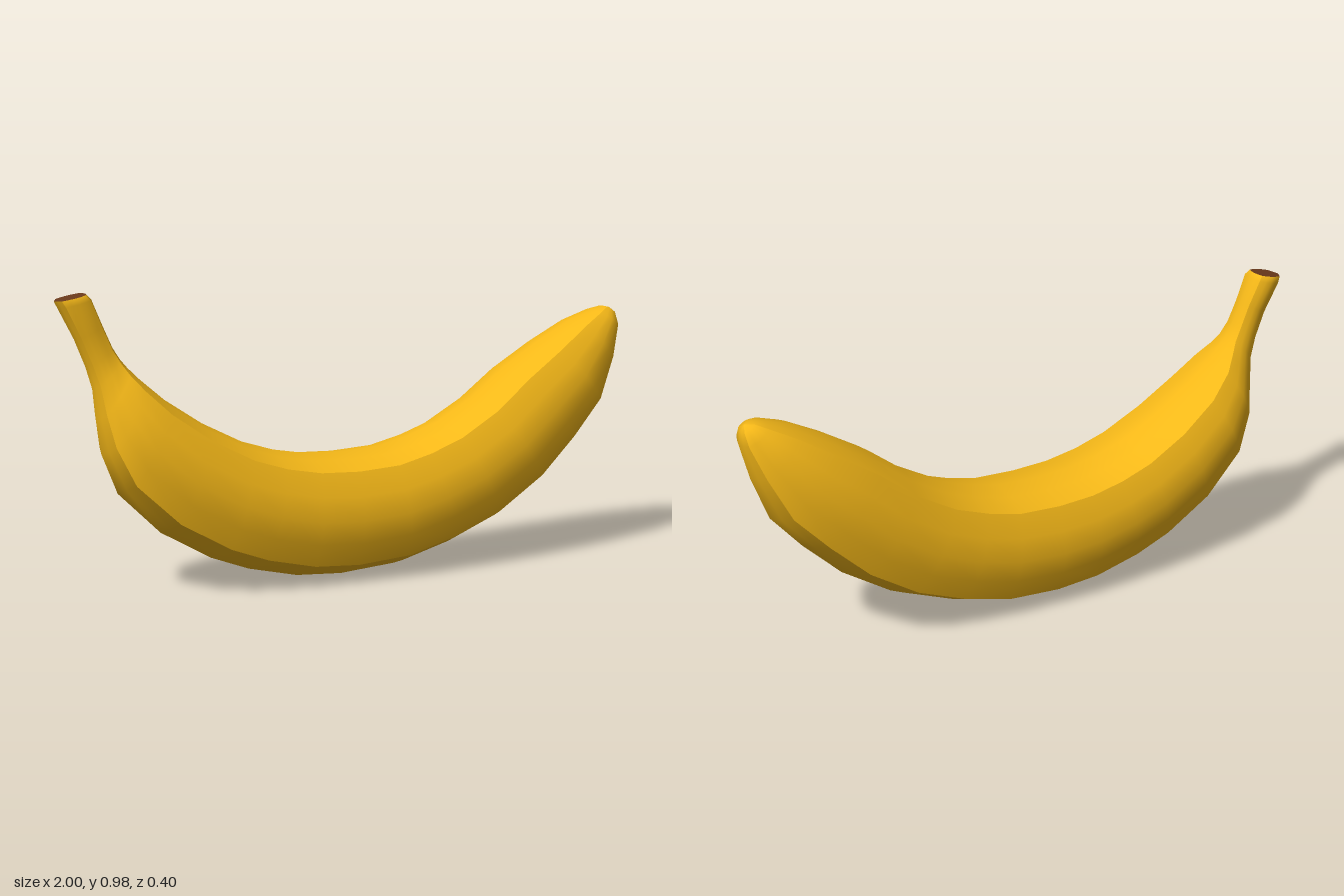
import * as THREE from 'three';

// Stations from stem to tip: outer edge x, y, inner edge x, y, half width.
const stations = [
  [-1.0, 0.96, -0.9, 0.98, 0.046],
  [-0.99, 0.94, -0.885, 0.965, 0.055],
  [-0.94, 0.84, -0.85, 0.88, 0.047],
  [-0.905, 0.75, -0.82, 0.81, 0.05],
  [-0.885, 0.68, -0.795, 0.77, 0.06],
  [-0.875, 0.58, -0.77, 0.74, 0.085],
  [-0.86, 0.47, -0.73, 0.7, 0.125],
  [-0.81, 0.34, -0.65, 0.63, 0.16],
  [-0.67, 0.2, -0.525, 0.545, 0.18],
  [-0.5, 0.1, -0.39, 0.475, 0.19],
  [-0.37, 0.05, -0.28, 0.44, 0.194],
  [-0.2, 0.01, -0.17, 0.42, 0.198],
  [-0.04, 0.0, -0.04, 0.415, 0.2],
  [0.155, 0.015, 0.1, 0.423, 0.198],
  [0.33, 0.065, 0.21, 0.45, 0.194],
  [0.51, 0.14, 0.32, 0.49, 0.189],
  [0.68, 0.255, 0.45, 0.565, 0.183],
  [0.81, 0.385, 0.57, 0.66, 0.172],
  [0.915, 0.51, 0.705, 0.745, 0.15],
  [0.97, 0.66, 0.825, 0.81, 0.11],
  [1.0, 0.78, 0.91, 0.84, 0.065],
  [0.995, 0.825, 0.95, 0.85, 0.03],
  [0.978, 0.844, 0.978, 0.844, 0],
];

// Cross-section panels as [outer-to-inner fraction, width fraction]; creases lie between panels.
const side = [[0.155, 0.775], [0.345, 0.93], [0.53, 1], [0.72, 0.935], [0.905, 0.775]];
const panels = {
  outerPeel: [[0.155, -0.775], [0.07, -0.4], [0, 0], [0.07, 0.4], [0.155, 0.775]],
  frontPeel: side,
  innerPeel: [[0.905, 0.775], [0.97, 0.4], [1, 0], [0.97, -0.4], [0.905, -0.775]],
  backPeel: side.map(([t, w]) => [t, -w]).reverse(),
};

const place = ([ox, oy, ix, iy, half], [t, w]) =>
  [ox + (ix - ox) * t, oy + (iy - oy) * t, half * w];

function makeGeometry(positions, index) {
  const geometry = new THREE.BufferGeometry();
  geometry.setAttribute('position', new THREE.Float32BufferAttribute(positions, 3));
  geometry.setIndex(index);
  geometry.computeVertexNormals();
  return geometry;
}

// Smooth strip running the whole length of the fruit
function panelGeometry(panel) {
  const n = panel.length;
  const positions = stations.flatMap((s) => panel.flatMap((p) => place(s, p)));
  const index = [];
  for (let i = 0; i < stations.length - 1; i++) {
    for (let j = 0; j < n - 1; j++) {
      const a = i * n + j, b = a + n;
      index.push(a, b, a + 1);
      if (i < stations.length - 2) index.push(b, b + 1, a + 1);
    }
  }
  return makeGeometry(positions, index);
}

// Fan closing the cut end of the stem
function capGeometry() {
  const ring = Object.values(panels).flatMap((panel) => panel.slice(0, -1));
  const positions = [...place(stations[0], [0.5, 0]), ...ring.flatMap((p) => place(stations[0], p))];
  const index = ring.flatMap((_, j) => [0, j + 1, ((j + 1) % ring.length) + 1]);
  return makeGeometry(positions, index);
}

export function createModel() {
  const model = new THREE.Group();
  model.name = 'banana';
  const peel = new THREE.MeshStandardMaterial({ color: 0xf5b818 });
  const cut = new THREE.MeshStandardMaterial({ color: 0x6b3a1c });

  const add = (name, geometry, material) => {
    const mesh = new THREE.Mesh(geometry, material);
    mesh.name = name;
    model.add(mesh);
  };
  for (const [name, panel] of Object.entries(panels)) add(name, panelGeometry(panel), peel);
  add('stemCut', capGeometry(), cut);
  return model;
}
